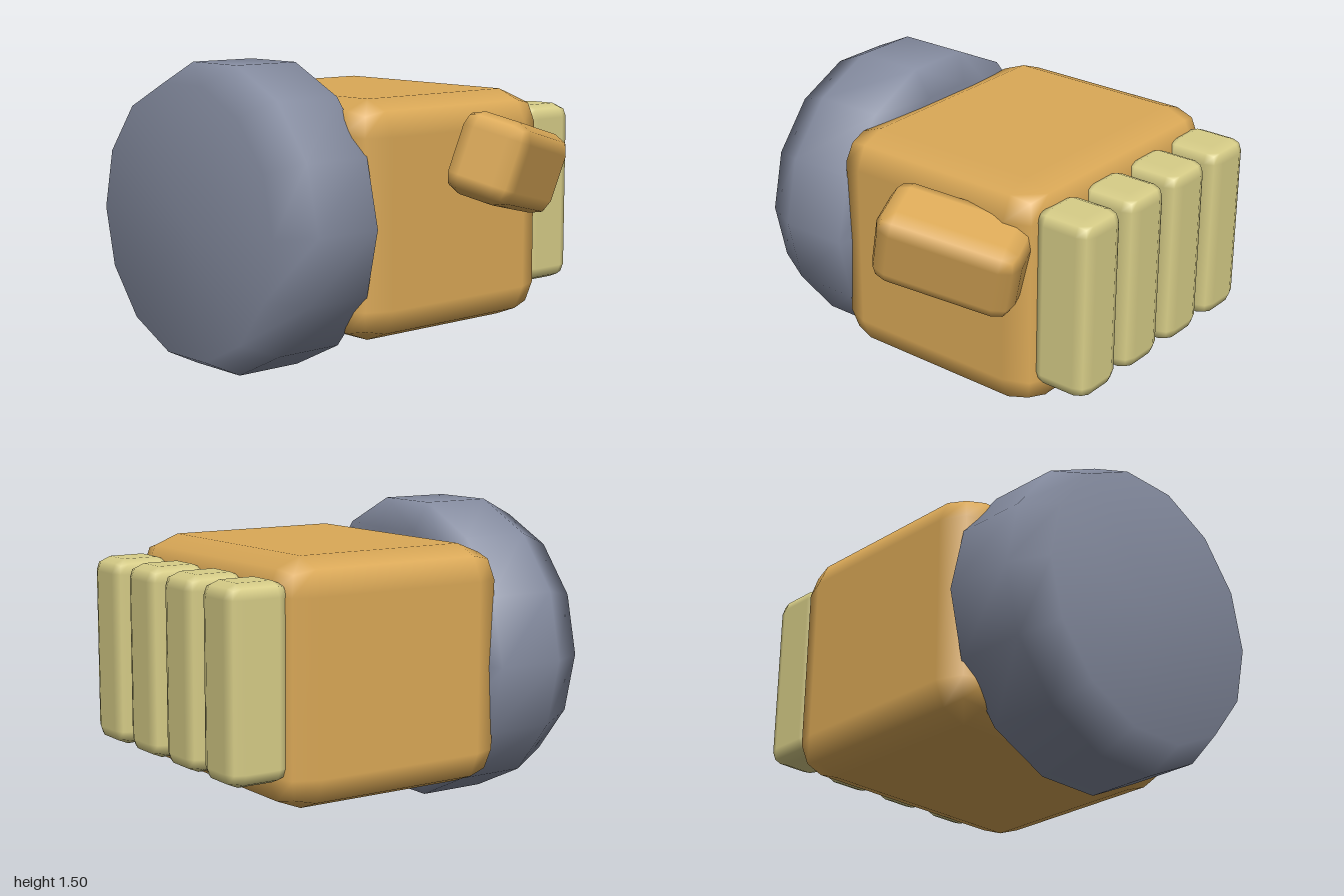
import * as THREE from 'three';

// Box with one-vertex bevels on every edge; r holds the bevel radius per axis
function bevelBox(w, h, d, r) {
  const geo = new THREE.BoxGeometry(2, 2, 2, 3, 3, 3);
  const pos = geo.attributes.position, nor = geo.attributes.normal;
  const core = new THREE.Vector3(w, h, d).multiplyScalar(0.5).sub(r);
  const p = new THREE.Vector3(), n = new THREE.Vector3();
  // inner grid lines become the edges of the flat faces, outer ones the bevel ridges
  const snap = v => (Math.abs(v) > 0.9 ? Math.sign(v) : 0);
  for (let i = 0; i < pos.count; i++) {
    p.fromBufferAttribute(pos, i);
    n.set(snap(p.x), snap(p.y), snap(p.z)).normalize();
    pos.setXYZ(i,
      Math.sign(p.x) * core.x + n.x * r.x,
      Math.sign(p.y) * core.y + n.y * r.y,
      Math.sign(p.z) * core.z + n.z * r.z);
    nor.setXYZ(i, n.x, n.y, n.z);
  }
  return geo;
}

export function createModel() {
  const group = new THREE.Group();
  const glove = new THREE.MeshStandardMaterial({ name: 'ochre glove', color: 0xdba957 });
  const pale = new THREE.MeshStandardMaterial({ name: 'pale yellow fingers', color: 0xd8ce88 });
  const slate = new THREE.MeshStandardMaterial({ name: 'slate cuff', color: 0x858ca0 });

  const add = (name, geo, mat, x, y, z) => {
    const mesh = new THREE.Mesh(geo, mat);
    mesh.name = name;
    mesh.position.set(x, y, z);
    group.add(mesh);
    return mesh;
  };

  // Wrist cuff: fourteen-sided drum lying along x with tapered ends
  const profile = [[0, -1], [0.677, -1], [0.77, -0.81], [0.77, -0.45], [0.615, -0.39], [0, -0.39]]
    .map(([r, x]) => new THREE.Vector2(r, x));
  const cuff = new THREE.LatheGeometry(profile, 14);
  cuff.rotateZ(-Math.PI / 2);
  add('cuff', cuff, slate, 0, 0.75, -0.18);

  // Palm block
  add('palm', bevelBox(1.26, 1.17, 1.48, new THREE.Vector3(0.18, 0.17, 0.18)), glove, 0.12, 0.755, -0.18);

  // Four folded fingers
  const fingerGeo = bevelBox(0.32, 0.92, 0.29, new THREE.Vector3(0.07, 0.07, 0.07));
  for (let i = 0; i < 4; i++) {
    add('finger' + (i + 1), fingerGeo, pale, 0.84, 0.787, 0.345 - i * 0.35);
  }

  // Thumb: slanted block resting on the front of the palm
  const thumb = add('thumb', bevelBox(0.71, 0.416, 0.36, new THREE.Vector3(0.09, 0.09, 0.09)), glove, 0.353, 1.0, 0.655);
  const along = new THREE.Vector3(0.902, -0.207, -0.379).normalize();
  const across = along.clone().cross(new THREE.Vector3(0.25, 0.95, 0.16)).normalize();
  const up = across.clone().cross(along);
  thumb.quaternion.setFromRotationMatrix(new THREE.Matrix4().makeBasis(along, up, across));

  return group;
}
